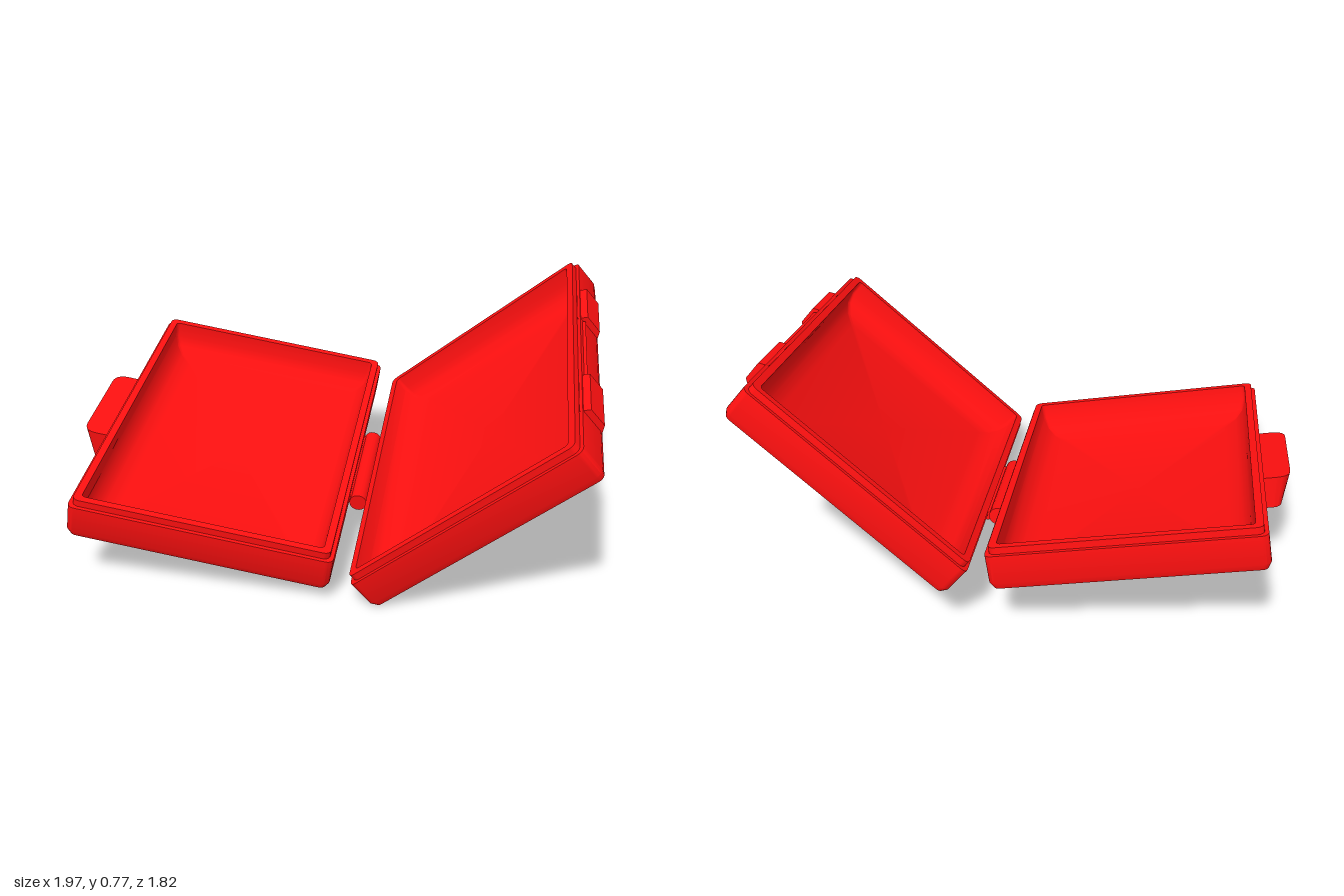
import * as THREE from 'three';
import { toCreasedNormals } from 'three/addons/utils/BufferGeometryUtils.js';

const material = new THREE.MeshStandardMaterial({ color: 0xff1010, side: THREE.DoubleSide });
const LENGTH = 1.18; // along the hinge
const DEPTH = 0.14;

function add(parent, geometry, name, x = 0, y = 0, z = 0) {
  const mesh = new THREE.Mesh(geometry, material);
  mesh.name = name;
  mesh.position.set(x, y, z);
  parent.add(mesh);
  return mesh;
}

// Points of a rounded rectangle in the xz plane
function ring(w, l, r, y) {
  const pts = [];
  const signs = [[1, 1], [-1, 1], [-1, -1], [1, -1]];
  signs.forEach(([sx, sz], c) => {
    for (let k = 0; k <= 4; k++) {
      const a = (c + k / 4) * Math.PI / 2;
      pts.push([sx * (w / 2 - r) + r * Math.cos(a), y, sz * (l / 2 - r) + r * Math.sin(a)]);
    }
  });
  return pts;
}

// Open tray: rings run from the outer base, over the stepped rim, down to the inner floor
function trayGeometry(w, l) {
  const sections = [ // inset, height, corner radius
    [0.025, -DEPTH, 0.012], [0.01, -DEPTH + 0.008, 0.018], [0, -DEPTH + 0.03, 0.022],
    [0, -0.022, 0.022], [0.012, -0.022, 0.02], [0.012, 0, 0.02],
    [0.035, 0, 0.012], [0.037, -0.05, 0.012],
    [0.05, -0.083, 0.012], [0.075, -0.106, 0.012], [0.115, -0.117, 0.012],
  ];
  const rings = sections.map(([inset, y, r]) => ring(w - 2 * inset, l - 2 * inset, r, y));
  const count = rings[0].length;
  rings.unshift(Array(count).fill([0, -DEPTH, 0]));
  rings.push(Array(count).fill([0, -0.117, 0]));
  const v = [];
  for (let i = 0; i < rings.length - 1; i++) {
    for (let j = 0; j < count; j++) {
      const k = (j + 1) % count;
      const a = rings[i][j], b = rings[i][k], c = rings[i + 1][j], d = rings[i + 1][k];
      if (i > 0) v.push(...a, ...c, ...b);
      if (i < rings.length - 2) v.push(...b, ...c, ...d);
    }
  }
  const g = new THREE.BufferGeometry();
  g.setAttribute('position', new THREE.Float32BufferAttribute(v, 3));
  return toCreasedNormals(g, 0.6);
}

// Prism from an outline in the xy plane, centred along z
function prism(points, length) {
  const shape = new THREE.Shape(points.map(([x, y]) => new THREE.Vector2(x, y)));
  return new THREE.ExtrudeGeometry(shape, { depth: length, bevelEnabled: false }).translate(0, 0, -length / 2);
}

// Latch tab with rounded outer corners, hanging below the rim
function tabGeometry() {
  const s = new THREE.Shape();
  s.moveTo(0, -0.18);
  s.lineTo(-0.04, -0.18);
  s.quadraticCurveTo(-0.085, -0.18, -0.085, -0.135);
  s.lineTo(-0.085, 0.135);
  s.quadraticCurveTo(-0.085, 0.18, -0.04, 0.18);
  s.lineTo(0, 0.18);
  const g = new THREE.ExtrudeGeometry(s, { depth: 0.1, bevelEnabled: false, curveSegments: 8 });
  g.rotateX(Math.PI / 2);
  // Draw the underside back toward the wall
  const p = g.attributes.position;
  for (let i = 0; i < p.count; i++) if (p.getY(i) < -0.05) p.setX(i, p.getX(i) * 0.6);
  return toCreasedNormals(g, 0.6);
}

export function createModel() {
  const model = new THREE.Group();
  model.name = 'openHingedCase';

  // Shared directions: across the base, its normal, and the hinge line
  const normal = new THREE.Vector3(0.2205, 0.9754, 0);
  const hinge = new THREE.Vector3(0.615, -0.139, 0.776).normalize();
  const across = new THREE.Vector3().crossVectors(normal, hinge).normalize();
  const baseTurn = new THREE.Quaternion().setFromRotationMatrix(
    new THREE.Matrix4().makeBasis(across, normal, hinge));

  // Base tray
  const base = new THREE.Group();
  base.name = 'base';
  base.position.set(-0.3, 0.318, 0.205);
  base.quaternion.copy(baseTurn);
  model.add(base);
  add(base, trayGeometry(0.81, LENGTH), 'baseTray');
  add(base, tabGeometry(), 'latchTab', -0.402, -0.035, 0);

  // Grip ridges under the base
  for (const x of [0.28, 0.18, 0.08]) {
    add(base, prism([[-0.025, 0.002], [-0.012, -0.015], [0.012, -0.015], [0.025, 0.002]], 0.98),
      'gripRidge', x, -DEPTH, 0);
  }

  // Hinge barrel and its strap
  const barrel = new THREE.CylinderGeometry(0.028, 0.028, 0.38, 20).rotateX(Math.PI / 2);
  add(base, barrel, 'hingeBarrel', 0.435, -0.085, 0);
  add(base, new THREE.BoxGeometry(0.08, 0.025, 0.36), 'hingeStrap', 0.435, -0.085, 0);

  // Lid, swung open about the hinge line
  const lid = new THREE.Group();
  lid.name = 'lid';
  lid.position.set(0.312, 0.437, -0.235);
  lid.quaternion.setFromAxisAngle(hinge, THREE.MathUtils.degToRad(49.5)).multiply(baseTurn);
  model.add(lid);
  add(lid, trayGeometry(0.83, LENGTH), 'lidTray');

  // Raised guards either side of the latch seat, with a catch ridge between
  const guard = [[-0.01, -0.02], [0.02, -0.035], [0.02, -0.1], [-0.01, -0.125]];
  for (const side of [-1, 1]) {
    add(lid, prism(guard, 0.2), 'latchGuard', 0.415, 0, side * 0.28);
  }
  add(lid, prism([[-0.005, -0.03], [0.008, -0.04], [-0.005, -0.05]], 0.34), 'catchRidge', 0.415, 0, 0);

  return model;
}
